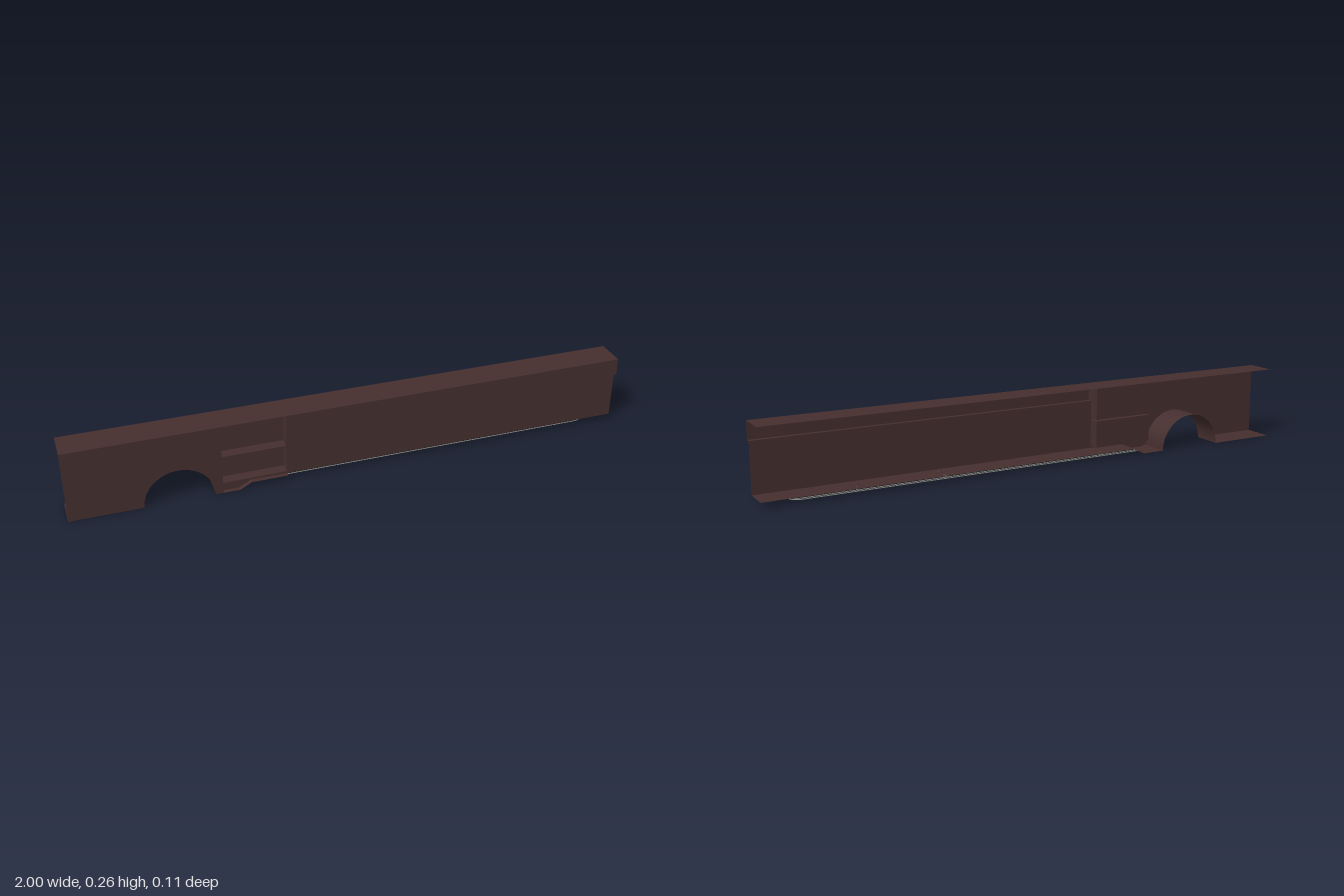
import * as THREE from 'three';
import { toCreasedNormals } from 'three/addons/utils/BufferGeometryUtils.js';

const FRONT = 0.055, BACK = -0.055, INSET = 0.039;
const X0 = -0.478, X1 = -0.25; // pocket bay
const TOP = 0.26, SILL = 0.022;

export function createModel() {
  const root = new THREE.Group();
  const paint = new THREE.MeshStandardMaterial({ color: 0x452e2e, side: THREE.DoubleSide });
  const metal = new THREE.MeshStandardMaterial({ color: 0x8c8c84 });

  function add(name, geometry, material = paint, parent = root) {
    const mesh = new THREE.Mesh(geometry, material);
    mesh.name = name;
    parent.add(mesh);
    return mesh;
  }

  // Flat sheets facing +z, +x and +y
  function faceZ(name, x0, x1, y0, y1, z, parent) {
    const g = new THREE.PlaneGeometry(x1 - x0, y1 - y0);
    add(name, g.translate((x0 + x1) / 2, (y0 + y1) / 2, z), paint, parent);
  }
  function faceX(name, z0, z1, y0, y1, x, parent) {
    const g = new THREE.PlaneGeometry(z1 - z0, y1 - y0).rotateY(Math.PI / 2);
    add(name, g.translate(x, (y0 + y1) / 2, (z0 + z1) / 2), paint, parent);
  }
  function faceY(name, x0, x1, z0, z1, y, parent) {
    const g = new THREE.PlaneGeometry(x1 - x0, z1 - z0).rotateX(-Math.PI / 2);
    add(name, g.translate((x0 + x1) / 2, y, (z0 + z1) / 2), paint, parent);
  }

  // Sheet that follows an xy profile from the front to the back
  function strip(name, profile, zFront) {
    const pos = [], idx = [];
    profile.forEach(([x, y], i) => {
      pos.push(x, y, zFront, x, y, BACK);
      const a = i * 2;
      if (i) idx.push(a - 2, a, a - 1, a, a + 1, a - 1);
    });
    const g = new THREE.BufferGeometry();
    g.setAttribute('position', new THREE.Float32BufferAttribute(pos, 3));
    g.setIndex(idx);
    add(name, toCreasedNormals(g, 0.3));
  }

  // Front skin with the wheel arch cut out
  const archX = -0.627, archR = 0.122;
  const skin = new THREE.Shape();
  skin.moveTo(-1, 0);
  skin.lineTo(archX - archR, 0);
  skin.absarc(archX, 0, archR, Math.PI, 0, true);
  skin.lineTo(X0, 0);
  skin.lineTo(X0, TOP);
  skin.lineTo(-1, TOP);
  add('archPanel', new THREE.ShapeGeometry(skin, 32).translate(0, 0, FRONT));

  // Floor, arch lining and ramp up to the raised sill
  const underside = [[-1, 0]];
  for (let i = 0; i <= 32; i++) {
    const a = Math.PI * (1 - i / 32);
    underside.push([archX + archR * Math.cos(a), archR * Math.sin(a)]);
  }
  underside.push([-0.42, 0], [-0.38, SILL], [X1, SILL]);
  strip('archLiningAndFloor', underside, FRONT);
  strip('sillFloor', [[X1, SILL], [1, SILL]], INSET);
  faceY('topFlange', -1, 1, BACK, FRONT, TOP);

  // Long inset panel under a proud upper band
  faceZ('longPanel', X1, 1, SILL, 0.197, INSET);
  faceZ('upperBand', X1, 1, 0.197, TOP, FRONT);
  faceY('bandLedge', X1, 1, INSET, FRONT, 0.197);
  faceX('bandEnd', INSET, FRONT, 0.197, TOP, X1);

  // Inset bay: side wall, frame strips and two open pockets
  faceX('bayWall', INSET, FRONT, 0, TOP, X0);
  const lower = new THREE.Shape([[X0, 0], [-0.42, 0], [-0.38, SILL], [X1, SILL], [X1, 0.03], [X0, 0.03]]
    .map(([x, y]) => new THREE.Vector2(x, y)));
  add('bayLowerFrame', new THREE.ShapeGeometry(lower).translate(0, 0, INSET));
  faceZ('bayDivider', X0, X1, 0.128, 0.133, INSET);
  faceZ('bayUpperFrame', X0, X1, 0.254, TOP, INSET);
  [['lowerPocket', 0.03, 0.128], ['upperPocket', 0.133, 0.254]].forEach(([name, y0, y1]) => {
    const pocket = new THREE.Group();
    pocket.name = name;
    root.add(pocket);
    faceZ('pocketBack', X0, X1, y0, y1, 0, pocket);
    for (const x of [X0, X1]) faceX('pocketSide', 0, INSET, y0, y1, x, pocket);
    for (const y of [y0, y1]) faceY('pocketShelf', X0, X1, 0, INSET, y, pocket);
  });

  // Two nested hairpin rails hung below the sill
  const rails = new THREE.Group();
  rails.name = 'underRails';
  root.add(rails);
  const midZ = -0.008, railY = 0.011;
  for (const [half, end] of [[0.036, 0.9], [0.022, 0.886]]) {
    const path = new THREE.CurvePath();
    const at = (x, z) => new THREE.Vector3(x, railY, midZ + z);
    const bend = [];
    for (let i = 0; i <= 8; i++) {
      const a = Math.PI * (0.5 - i / 8);
      bend.push(at(end - half + half * Math.cos(a), half * Math.sin(a)));
    }
    path.add(new THREE.LineCurve3(at(-0.4, half), bend[0]));
    path.add(new THREE.CatmullRomCurve3(bend));
    path.add(new THREE.LineCurve3(bend[8], at(-0.4, -half)));
    add('rail', new THREE.TubeGeometry(path, 240, 0.0015, 6), metal, rails);
    for (const x of [-0.25, 0.06, 0.37, 0.68]) {
      for (const s of [-1, 1]) {
        const post = new THREE.CylinderGeometry(0.0015, 0.0015, SILL - railY, 6);
        add('railHanger', post.translate(x, (SILL + railY) / 2, midZ + s * half), metal, rails);
      }
    }
  }
  return root;
}
